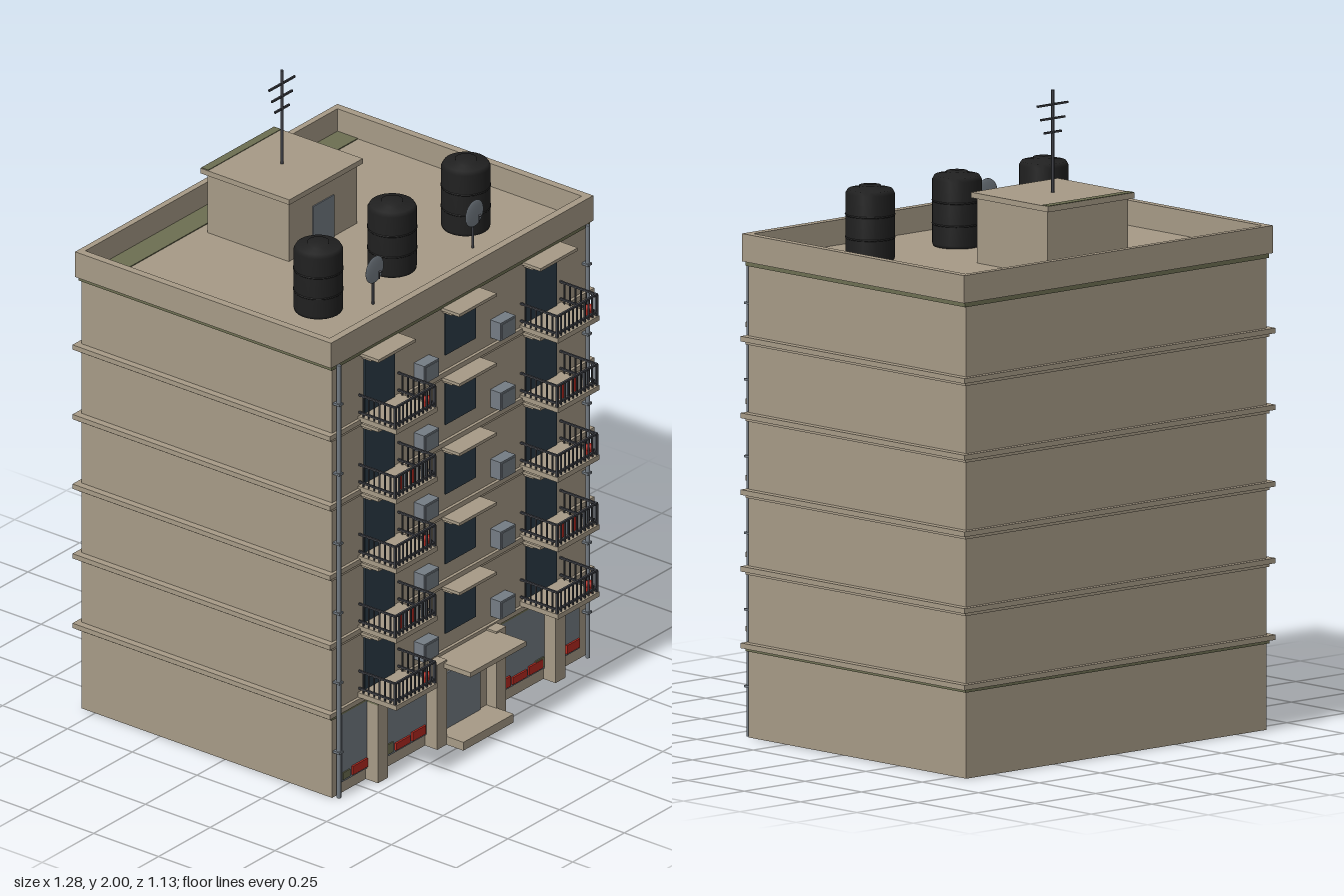
import * as THREE from 'three';

const mat = (name, color, side = THREE.FrontSide) => {
  const m = new THREE.MeshStandardMaterial({ color, side });
  m.name = name;
  return m;
};

export function createModel() {
  const model = new THREE.Group();
  model.name = 'apartmentBuilding';

  const plaster = mat('plaster', 0xa69a86);
  const moss = mat('moss', 0x6c6e51);
  const glass = mat('windowGlass', 0x2c3c48);
  const grey = mat('paleMetal', 0x747c84);
  const iron = mat('darkIron', 0x3c3e44);
  const black = mat('tankBlack', 0x202020);
  const red = mat('red', 0xb52a20);
  const white = mat('linen', 0xc4c4c0);

  const add = (parent, name, geo, material, x, y, z) => {
    const mesh = new THREE.Mesh(geo, material);
    mesh.name = name;
    mesh.position.set(x, y, z);
    parent.add(mesh);
    return mesh;
  };
  // Box given by its lower and upper limits on each axis
  const box = (parent, name, material, x0, x1, y0, y1, z0, z1) =>
    add(parent, name, new THREE.BoxGeometry(x1 - x0, y1 - y0, z1 - z0), material,
      (x0 + x1) / 2, (y0 + y1) / 2, (z0 + z1) / 2);
  const rod = (parent, name, material, r, h, x, y, z, sides = 8) =>
    add(parent, name, new THREE.CylinderGeometry(r, r, h, sides), material, x, y + h / 2, z);
  const group = (name, x = 0, y = 0, z = 0) => {
    const g = new THREE.Group();
    g.name = name;
    g.position.set(x, y, z);
    model.add(g);
    return g;
  };

  const FRONT = 0.415, BACK = -0.552, STOREY = 0.235, BASE = 0.275;

  // Main block and roof deck
  box(model, 'walls', plaster, -0.617, 0.617, 0, 1.468, BACK, FRONT);
  box(model, 'baseMoss', moss, -0.612, 0.612, -0.001, 0.002, 0.33, FRONT - 0.002);
  box(model, 'roofMoss', moss, -0.608, 0.608, 1.466, 1.471, -0.54, -0.462);

  // Floor ledges, each with a smaller moulding beneath
  for (let i = 0; i < 5; i++) {
    const y = BASE + i * STOREY;
    box(model, 'floorLedge', plaster, -0.64, 0.64, y, y + 0.016, -0.568, 0.425);
    box(model, 'ledgeMoulding', i ? plaster : moss, -0.625, 0.625, y - 0.01, y, -0.558, 0.42);
  }
  box(model, 'corniceMoulding', moss, -0.625, 0.625, 1.446, 1.46, -0.556, 0.42);

  // Parapet as an extruded ring
  const rect = (path, x, z0, z1) => path.moveTo(-x, z0).lineTo(x, z0).lineTo(x, z1).lineTo(-x, z1).closePath();
  const ring = rect(new THREE.Shape(), 0.635, -0.425, 0.562);
  ring.holes.push(rect(new THREE.Path(), 0.61, -0.4, 0.542));
  add(model, 'parapet', new THREE.ExtrudeGeometry(ring, { depth: 0.085, bevelEnabled: false }), plaster, 0, 1.46, 0)
    .rotation.x = -Math.PI / 2;

  // Downpipes with brackets
  for (const s of [-1, 1]) {
    rod(model, 'downpipe', grey, 0.007, 1.46, s * 0.602, 0, 0.43);
    for (let i = 0; i < 6; i++)
      box(model, 'pipeBracket', grey, s * 0.602 - 0.01, s * 0.602 + 0.01, 0.15 + i * STOREY, 0.157 + i * STOREY, FRONT, 0.439);
  }

  // One balcony: slab, railing, then a flower pot or washing
  const balcony = (x, y, washing) => {
    const b = group('balcony', x, y, 0);
    box(b, 'balconySlab', plaster, -0.1, 0.1, -0.002, 0.014, FRONT, 0.563);
    for (const h of [0.024, 0.082]) {
      box(b, 'frontRail', iron, -0.098, 0.098, h, h + 0.006, 0.552, 0.559);
      for (const s of [-1, 1])
        box(b, 'sideRail', iron, s * 0.095 - 0.003, s * 0.095 + 0.003, h, h + 0.006, FRONT, 0.556);
    }
    for (let i = 0; i <= 10; i++) {
      const w = i % 10 ? 0.0022 : 0.004, px = -0.095 + i * 0.019;
      box(b, 'frontBaluster', iron, px - w, px + w, 0.012, 0.084, 0.5555 - w, 0.5555 + w);
    }
    for (const s of [-1, 1]) for (let i = 0; i < 6; i++) {
      const pz = 0.432 + i * 0.021;
      box(b, 'sideBaluster', iron, s * 0.095 - 0.002, s * 0.095 + 0.002, 0.012, 0.084, pz - 0.002, pz + 0.002);
    }
    if (washing) {
      const cloths = [[-0.055, 0.02, red], [-0.028, 0.014, grey], [0.0, 0.018, red], [0.028, 0.016, white], [0.055, 0.02, grey]];
      for (const [cx, w, m] of cloths)
        box(b, 'washing', m, cx - w / 2, cx + w / 2, 0.025, 0.076, 0.541, 0.545);
    } else {
      add(b, 'flowerPot', new THREE.CylinderGeometry(0.013, 0.01, 0.02, 10), red, 0.079, 0.024, 0.54);
      add(b, 'flowers', new THREE.SphereGeometry(0.014, 10, 8), red, 0.079, 0.04, 0.54);
    }
  };

  // Upper storeys: windows, canopies, balconies and air conditioners
  for (let i = 0; i < 5; i++) {
    const y = BASE + i * STOREY, top = y + 0.212;
    for (const x of [-0.392, 0, 0.392]) {
      const sill = x ? y + 0.014 : y + 0.067;
      box(model, x ? 'balconyDoor' : 'window', glass, x - 0.073, x + 0.073, sill, top, FRONT, 0.42);
      box(model, 'lintel', plaster, x - 0.08, x + 0.08, top, top + 0.012, FRONT, 0.45);
      box(model, 'windowCanopy', plaster, x - 0.09, x + 0.09, top + 0.011, top + 0.021, FRONT, 0.487);
      if (x) balcony(x, y + (i ? 0.01 : 0.018), i % 2 === 1);
    }
    for (const s of [-1, 1]) {
      const ac = group('airConditioner', s * 0.185, y + 0.068, 0);
      box(ac, 'acCase', grey, -0.036, 0.036, -0.03, 0.03, FRONT, 0.455);
      box(ac, 'acGrille', grey, -0.03, 0.03, -0.024, 0.024, 0.455, 0.457);
    }
  }

  // Shop fronts with goods on display
  for (const s of [-1, 1]) {
    for (const [a, b] of [[0.165, 0.405], [0.45, 0.575]]) {
      const x0 = Math.min(s * a, s * b), x1 = Math.max(s * a, s * b);
      box(model, 'shopWindow', grey, x0, x1, 0.038, 0.266, FRONT, 0.42);
    }
    for (const [x, w] of [[0.43, 0.024], [0.143, 0.024]]) {
      box(model, 'pilaster', plaster, s * x - w, s * x + w, 0, 0.262, FRONT, 0.462);
      box(model, 'pilasterTop', x > 0.2 ? moss : plaster, s * x - w, s * x + w, 0.262, 0.286, FRONT, 0.462);
    }
  }
  const goods = [[-0.573, -0.54, moss], [-0.53, -0.458, red], [-0.4, -0.33, moss], [-0.32, -0.25, red], [-0.24, -0.175, red],
    [0.172, 0.235, red], [0.245, 0.315, red], [0.325, 0.39, red], [0.36, 0.4, moss], [0.455, 0.5, red], [0.508, 0.57, red]];
  goods.forEach(([x0, x1, m], i) =>
    box(model, 'shopGoods', m, x0, x1, 0.046, 0.07 + (i % 3) * 0.005, 0.419, 0.424 + (m === red ? 0.002 : 0)));

  // Entrance
  box(model, 'entranceWall', plaster, -0.12, 0.12, 0, 0.266, FRONT, 0.424);
  box(model, 'entranceDoor', grey, -0.083, 0.083, 0.028, 0.215, 0.424, 0.43);
  box(model, 'entranceStep', plaster, -0.122, 0.122, 0, 0.028, FRONT, 0.527);
  box(model, 'entranceCanopy', plaster, -0.135, 0.135, 0.264, 0.28, FRONT, 0.565);

  // Stair house on the roof
  box(model, 'stairHouse', plaster, -0.165, 0.165, 1.465, 1.67, -0.425, -0.112);
  box(model, 'stairHouseRoof', plaster, -0.178, 0.178, 1.668, 1.685, -0.442, -0.1);
  box(model, 'stairRoofMoss', moss, -0.176, 0.176, 1.684, 1.687, -0.441, -0.414);
  box(model, 'stairDoor', grey, -0.05, 0.05, 1.468, 1.61, -0.113, -0.108);

  // Aerial
  const aerial = group('aerial', 0, 0, -0.27);
  rod(aerial, 'mast', iron, 0.005, 0.317, 0, 1.683, 0);
  for (const [y, w] of [[1.955, 0.063], [1.912, 0.05], [1.87, 0.035]])
    box(aerial, 'aerialBar', iron, -w, w, y - 0.003, y + 0.003, -0.003, 0.003);

  // Water tanks turned from a profile
  const profile = [[0, 0], [0.072, 0], [0.075, 0.01], [0.075, 0.205], [0.068, 0.217], [0.033, 0.22], [0.033, 0.229], [0, 0.229]]
    .map(([r, y]) => new THREE.Vector2(r, y));
  for (const x of [-0.357, 0, 0.357]) {
    const tank = add(model, 'waterTank', new THREE.LatheGeometry(profile, 24), black, x, 1.467, 0.155);
    for (const h of [0.07, 0.14])
      add(tank, 'tankRib', new THREE.TorusGeometry(0.074, 0.003, 6, 24), black, 0, h, 0).rotation.x = Math.PI / 2;
  }

  // Satellite dishes
  for (const x of [-0.229, 0.254]) {
    const dish = group('satelliteDish', x, 1.586, 0.27);
    add(dish, 'dishBowl', new THREE.SphereGeometry(0.044, 20, 12), grey, 0, 0, 0).scale.z = 0.1;
    rod(dish, 'dishPost', iron, 0.004, 0.12, 0, -0.12, -0.006);
    add(dish, 'dishReceiver', new THREE.SphereGeometry(0.005, 8, 6), iron, 0, 0, 0.022);
    rod(dish, 'dishArm', iron, 0.002, 0.026, 0, -0.026, 0.018, 6);
  }

  return model;
}
